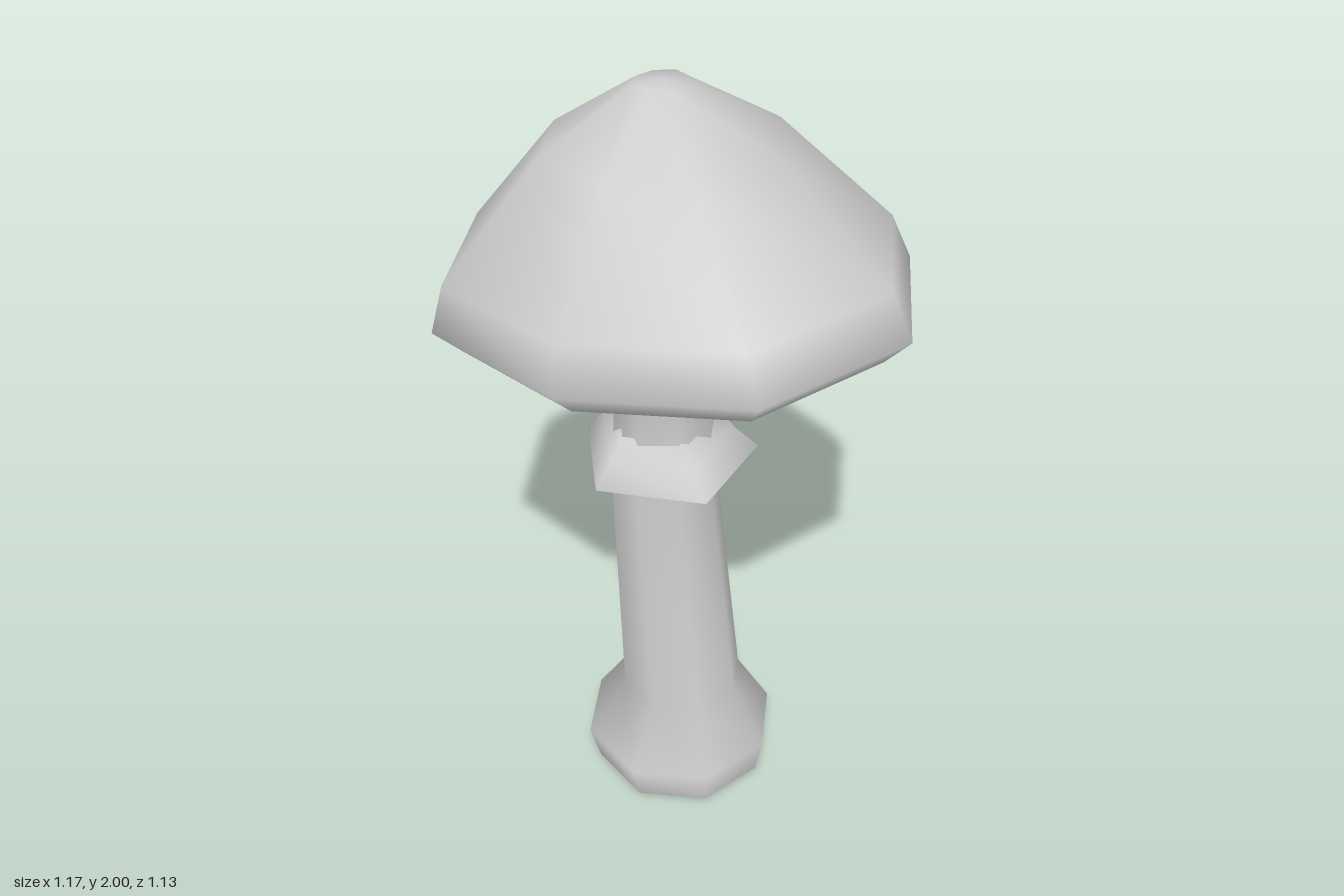
import * as THREE from 'three';

// Smooth skin over tilted rings, listed from the underside outwards and up.
// Ring: [centre x, y, z, radius, slope along x, slope along z]
function loft(rings, sides, { bow = 0, close = false, material, name }) {
  const pos = [], index = [];
  for (const [cx, cy, cz, r, sx = 0, sz = 0] of rings) {
    for (let i = 0; i < sides; i++) {
      const a = (i / sides) * Math.PI * 2 + (sides % 2 ? Math.PI : 0);
      const x = r * Math.cos(a), z = r * Math.sin(a);
      const shift = bow * r * Math.sqrt(Math.abs(Math.cos(a)));
      pos.push(cx + x, cy + x * sx + z * sz, cz + z + shift);
    }
  }
  for (let k = 0; k < rings.length - 1; k++) {
    for (let i = 0; i < sides; i++) {
      const j = (i + 1) % sides, b = k * sides, t = b + sides;
      index.push(b + i, t + i, t + j, b + i, t + j, b + j);
    }
  }
  if (close) {
    const top = rings[rings.length - 1], b = (rings.length - 1) * sides, apex = b + sides;
    pos.push(top[0], top[1] + 0.004, top[2]);
    for (let i = 0; i < sides; i++) index.push(b + i, apex, b + (i + 1) % sides);
  }
  const geometry = new THREE.BufferGeometry();
  geometry.setAttribute('position', new THREE.Float32BufferAttribute(pos, 3));
  geometry.setIndex(index);
  geometry.computeVertexNormals();
  const mesh = new THREE.Mesh(geometry, material);
  mesh.name = name;
  return mesh;
}

export function createModel() {
  const group = new THREE.Group();
  group.name = 'mushroom';
  const grey = new THREE.MeshStandardMaterial({ color: 0xcccccc, side: THREE.DoubleSide });
  grey.name = 'pale grey';

  // Stem with bulbous foot, flaring where it meets the cap
  const stem = loft([
    [0.015, 0, 0.038, 0.236],
    [0.013, 0.11, 0.045, 0.259],
    [0.012, 0.26, 0.03, 0.162],
    [-0.025, 1.03, 0.063, 0.133],
    [-0.025, 1.12, 0.05, 0.13],
    [-0.023, 1.37, 0.043, 0.128],
    [-0.02, 1.46, 0.04, 0.21, 0.08, 0.04],
  ], 8, { material: grey, name: 'stem' });

  // Flat sole under the foot
  const sole = new THREE.Mesh(new THREE.CircleGeometry(0.236, 8), grey);
  sole.name = 'sole';
  sole.rotation.x = Math.PI / 2;
  sole.position.set(0.015, 0, 0.038);

  // Five-sided flared skirt around the stem
  const skirt = loft([
    [-0.022, 1.04, 0.062, 0.13],
    [-0.01, 1.022, 0.075, 0.2],
    [-0.004, 1.042, 0.08, 0.228],
    [-0.02, 1.085, 0.062, 0.175],
    [-0.025, 1.13, 0.05, 0.138],
  ], 5, { material: grey, name: 'skirt' });

  // Tilted eight-sided cap, from the hollow underside over the rim to the crown
  const cap = loft([
    [-0.02, 1.455, 0.04, 0.17, 0.08, 0.04],
    [0.003, 1.403, 0, 0.52, 0.085, 0.045],
    [-0.002, 1.468, 0, 0.587, 0.085, 0.045],
    [-0.015, 1.58, 0, 0.545, 0.083, 0.04],
    [-0.035, 1.867, 0.028, 0.277, 0.09, 0.02],
    [-0.035, 1.994, 0.035, 0.066, 0.06, 0],
  ], 8, { bow: 0.055, close: true, material: grey, name: 'cap' });

  // Trim the cap's depth a little
  cap.scale.z = 0.96;

  group.add(stem, sole, skirt, cap);
  return group;
}
